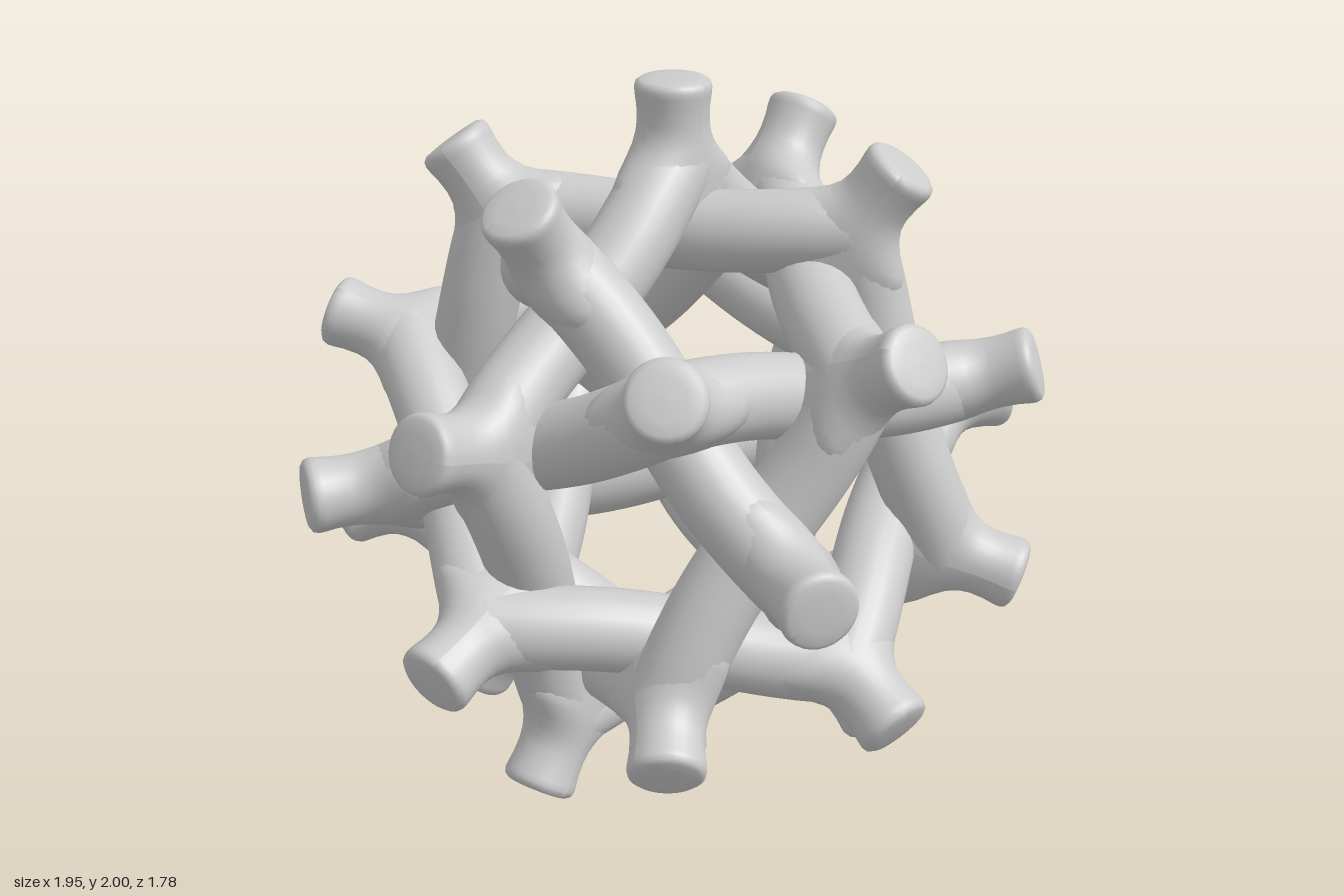
import * as THREE from 'three';

// Six woven pentagonal rings; every ring corner carries a short outward stub.
const JOINT = 0.775;   // distance of ring corners from the centre
const RADIUS = 0.106;  // strut thickness
const STEP = Math.PI * 2 / 5;

// Strut between two neighbouring corners, bowed slightly inward and S-bent
function strutGeometry() {
  const half = STEP / 2;
  const x = JOINT * Math.sin(half), y = JOINT * Math.cos(half);
  const points = [];
  for (let i = 0; i <= 8; i++) {
    const t = i / 8;
    points.push(new THREE.Vector3(
      x * (1 - 2 * t),
      y - 0.022 * Math.sin(Math.PI * t) ** 2,
      0.016 * Math.sin(2 * Math.PI * t)));
  }
  return new THREE.TubeGeometry(new THREE.CatmullRomCurve3(points), 24, RADIUS, 24);
}

// Stub: round post with a soft tip, flaring into the two struts at its foot
function stubGeometry() {
  const profile = [
    [0.105, 0.68], [0.105, 0.74], [0.105, 0.77], [0.103, 0.80], [0.098, 0.83], [0.094, 0.86], [0.092, 0.89],
    [0.093, 0.93], [0.097, 0.96], [0.098, 0.975], [0.094, 0.988], [0.082, 0.996], [0.05, 0.999], [0, 1],
  ].map(([r, h]) => new THREE.Vector2(r, h));
  const geometry = new THREE.LatheGeometry(profile, 32);
  const pos = geometry.attributes.position;
  for (let i = 0; i < pos.count; i++) {
    const drop = Math.min(Math.max((0.89 - pos.getY(i)) / 0.14, 0), 1);
    pos.setX(i, pos.getX(i) * (1 + 0.95 * drop * drop));
  }
  geometry.computeVertexNormals();
  return geometry;
}

export function createModel() {
  const model = new THREE.Group();
  model.name = 'wovenBall';
  const material = new THREE.MeshStandardMaterial({ color: 0xcccccc });
  const strut = strutGeometry();
  const stub = stubGeometry();
  const ball = new THREE.SphereGeometry(RADIUS, 24, 16);

  // One ring in the xy plane with a corner pointing straight down
  function makeRing() {
    const ring = new THREE.Group();
    ring.name = 'pentagonRing';
    for (let i = 0; i < 5; i++) {
      const side = new THREE.Group();
      side.name = 'ringSide';
      side.rotation.z = i * STEP;

      const bar = new THREE.Mesh(strut, material);
      bar.name = 'strut';

      const post = new THREE.Mesh(stub, material);
      post.name = 'stub';
      post.rotation.z = STEP / 2;

      const knuckle = new THREE.Mesh(ball, material);
      knuckle.name = 'joint';
      knuckle.position.set(-JOINT * Math.sin(STEP / 2), JOINT * Math.cos(STEP / 2), 0);

      side.add(bar, post, knuckle);
      ring.add(side);
    }
    return ring;
  }

  // One ring faces the front, five more are tilted around it
  model.add(makeRing());
  const zAxis = new THREE.Vector3(0, 0, 1);
  const yAxis = new THREE.Vector3(0, 1, 0);
  const turn = (axis, angle) => new THREE.Quaternion().setFromAxisAngle(axis, angle);
  for (let k = 0; k < 5; k++) {
    const ring = makeRing();
    ring.quaternion.copy(turn(zAxis, k * STEP))
      .multiply(turn(yAxis, Math.atan(2)))
      .multiply(turn(zAxis, Math.PI));
    model.add(ring);
  }

  model.position.y = 1;
  const root = new THREE.Group();
  root.name = 'model';
  root.add(model);
  return root;
}
